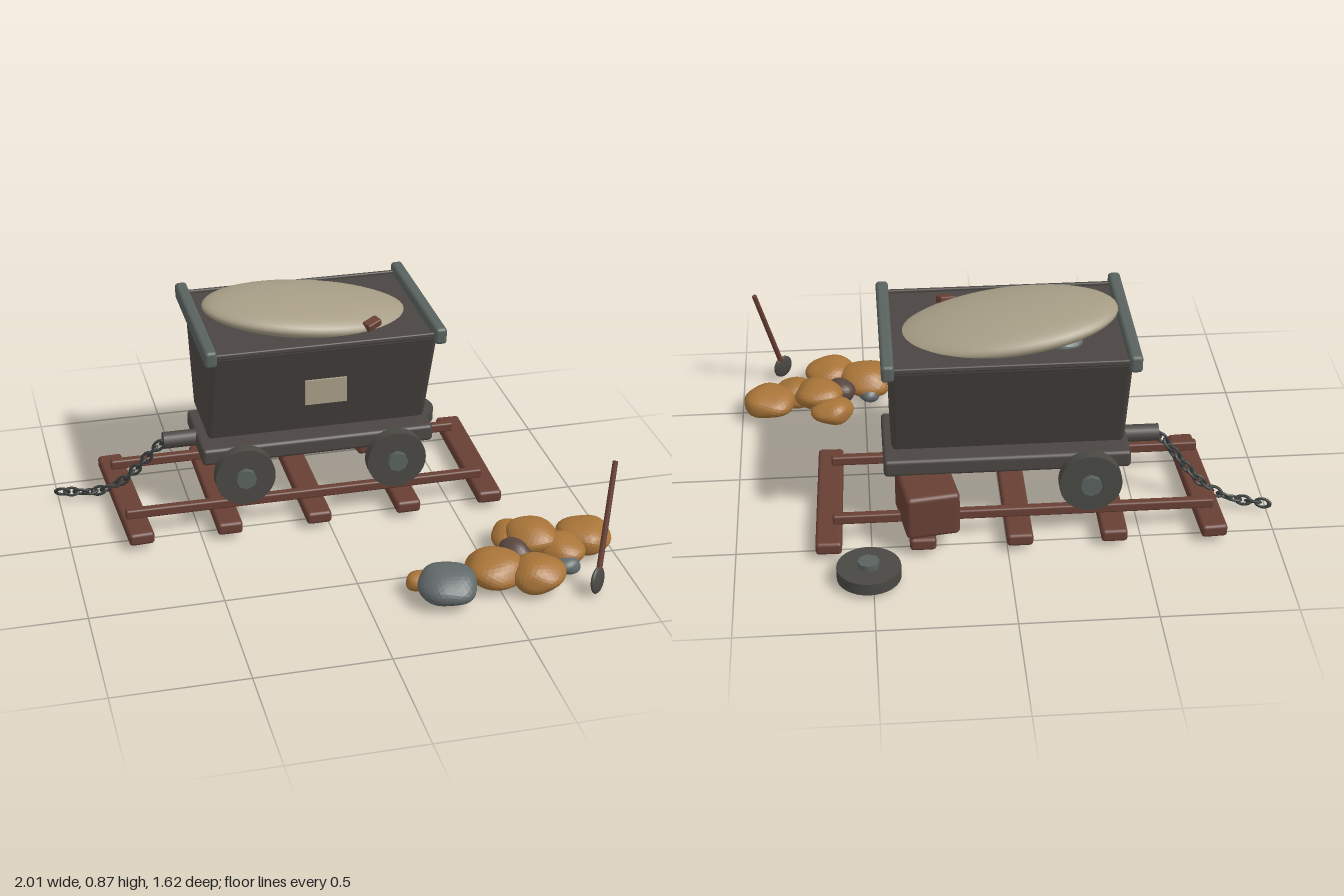
import * as THREE from 'three';
import { RoundedBoxGeometry } from 'three/addons/geometries/RoundedBoxGeometry.js';

const mat = (name, color, extra = {}) => {
  const m = new THREE.MeshStandardMaterial({ color, ...extra });
  m.name = name;
  return m;
};
const iron = mat('dark iron', 0x4b4642);
const wheelIron = mat('wheel iron', 0x494843);
const steel = mat('grey steel', 0x59625e);
const wood = mat('red brown wood', 0x683f34);
const cloth = mat('pale tan', 0xa79d86);
const ore = mat('ochre ore', 0xa87438);
const stone = mat('grey stone', 0x626a69);
const chainIron = mat('chain iron', 0x353a39);
const darkOre = mat('dusky brown', 0x5a4640);

const CZ = -0.237; // centre line of the cart

export function createModel() {
  const root = new THREE.Group();
  root.name = 'mineCartScene';

  const add = (name, geo, material, x = 0, y = 0, z = 0, parent = root) => {
    const m = new THREE.Mesh(geo, material);
    m.name = name;
    m.position.set(x, y, z);
    parent.add(m);
    return m;
  };
  const box = (name, w, h, d, r, material, x, y, z) =>
    add(name, new RoundedBoxGeometry(w, h, d, 3, r), material, x, y, z);

  // Lumpy ellipsoid: a sphere pushed in and out by a few waves
  const lump = (rx, ry, rz, seed, amount, detail) => {
    const g = new THREE.IcosahedronGeometry(1, detail);
    const p = g.attributes.position;
    const v = new THREE.Vector3();
    for (let i = 0; i < p.count; i++) {
      v.fromBufferAttribute(p, i);
      const k = 1 + amount * (Math.sin(v.x * 3.1 + seed * 1.7) * Math.sin(v.y * 3.7 + seed) +
        0.7 * Math.sin(v.z * 4.3 + v.x * 2 + seed * 2.3));
      p.setXYZ(i, v.x * k * rx, v.y * k * ry, v.z * k * rz);
    }
    g.computeVertexNormals();
    return g;
  };

  // Tapered hopper, extruded along x with a soft bevel
  const b = 0.018;
  const section = new THREE.Shape([
    new THREE.Vector2(-0.155 + b, 0.365 + b), new THREE.Vector2(0.155 - b, 0.365 + b),
    new THREE.Vector2(0.303 - b, 0.782 - b), new THREE.Vector2(-0.303 + b, 0.782 - b)]);
  const hopper = new THREE.ExtrudeGeometry(section, {
    depth: 0.86 - 2 * b, bevelThickness: b, bevelSize: b, bevelSegments: 3 });
  hopper.translate(0, 0, -0.43 + b);
  hopper.rotateY(Math.PI / 2);
  add('hopper', hopper, iron, -0.015, 0, CZ);
  for (const s of [-1, 1]) {
    box('sideLip', 0.85, 0.03, 0.016, 0.006, iron, -0.015, 0.776, CZ + s * 0.295);
    box('endRim', 0.046, 0.066, 0.655, 0.014, steel, -0.015 + s * 0.438, 0.783, CZ);
  }
  add('signPlate', new THREE.BoxGeometry(0.16, 0.1, 0.009), cloth, -0.015, 0.595, 0.06);

  // Load on top
  const load = add('loadMound', new THREE.SphereGeometry(1, 48, 24), cloth, -0.022, 0.8, -0.24);
  load.scale.set(0.407, 0.067, 0.234);
  load.rotation.z = -0.115;
  add('loadStone', lump(0.08, 0.03, 0.06, 2, 0.06, 4), stone, -0.2, 0.785, -0.37);
  const chip = box('loadChip', 0.065, 0.03, 0.04, 0.006, wood, 0.19, 0.8, -0.05);
  chip.rotation.set(0.2, 0.5, 0.1);

  // Undercarriage and coupling
  box('chassis', 0.915, 0.068, 0.355, 0.015, iron, -0.012, 0.294, CZ);
  const coupling = add('coupling', new THREE.CylinderGeometry(0.033, 0.033, 0.13, 16),
    iron, -0.53, 0.298, CZ);
  coupling.rotation.z = Math.PI / 2;

  // Wheel with its hub pointing up local y
  const wheel = (name, x, y, z, tilt) => {
    const g = new THREE.Group();
    g.name = name;
    add('disc', new THREE.CylinderGeometry(0.117, 0.117, 0.046, 32), wheelIron, 0, 0, 0, g);
    add('hub', new THREE.CylinderGeometry(0.04, 0.04, 0.022, 8), steel, 0, 0.034, 0, g);
    g.position.set(x, y, z);
    g.rotation.x = tilt;
    root.add(g);
  };
  wheel('frontWheel', -0.315, 0.225, -0.026, Math.PI / 2);
  wheel('frontWheel', 0.285, 0.225, -0.026, Math.PI / 2);
  wheel('rearWheel', -0.315, 0.225, -0.438, -Math.PI / 2);
  wheel('looseWheel', 0.515, 0.052, -0.7, 0);

  // Crate propping the corner with the missing wheel
  const crate = box('crate', 0.2, 0.175, 0.25, 0.018, wood, 0.29, 0.178, -0.442);
  crate.rotation.y = 0.15;

  // Track
  [[-0.752, 0.05], [-0.395, 0], [-0.045, 0], [0.312, 0], [0.65, -0.025]].forEach(([x, turn]) => {
    box('sleeper', 0.097, 0.05, 0.655, 0.014, wood, x, 0.058, -0.24).rotation.y = turn;
  });
  for (const z of [-0.037, -0.438])
    box('rail', 1.42, 0.038, 0.034, 0.008, wood, -0.07, 0.107, z);

  // Chain of alternating oval links
  const path = new THREE.CatmullRomCurve3([
    [-0.585, 0.3, -0.237], [-0.625, 0.26, -0.248], [-0.7, 0.165, -0.275],
    [-0.77, 0.095, -0.3], [-0.85, 0.055, -0.33], [-0.985, 0.045, -0.373],
  ].map((p) => new THREE.Vector3(...p)));
  const link = new THREE.TorusGeometry(0.016, 0.0055, 8, 16);
  link.scale(1.6, 1, 1);
  const LINKS = 15;
  for (let i = 0; i < LINKS; i++) {
    const t = i / (LINKS - 1);
    const p = path.getPointAt(t);
    const m = add('chainLink', link, chainIron, p.x, p.y, p.z);
    m.quaternion.setFromUnitVectors(new THREE.Vector3(1, 0, 0), path.getTangentAt(t));
    m.rotateX(i % 2 ? 0.8 : -0.75);
  }

  // Spilled rocks: x, y, z, radius, height radius, material
  [[0.205, 0.06, 0.61, 0.052, 0.036, ore], [0.29, 0.083, 0.69, 0.108, 0.066, stone],
    [0.49, 0.08, 0.62, 0.112, 0.066, ore], [0.635, 0.078, 0.685, 0.102, 0.062, ore],
    [0.635, 0.07, 0.4, 0.085, 0.052, ore], [0.685, 0.105, 0.47, 0.1, 0.058, ore],
    [0.78, 0.075, 0.54, 0.086, 0.055, ore], [0.89, 0.08, 0.47, 0.105, 0.06, ore],
    [0.6, 0.08, 0.53, 0.065, 0.05, darkOre], [0.775, 0.055, 0.615, 0.05, 0.035, stone],
    [0.48, 0.055, 0.54, 0.045, 0.035, stone],
  ].forEach(([x, y, z, r, h, material], i) =>
    add('rock', lump(r, h, r, i + 1, 0.055, 5), material, x, y, z).rotation.set(0.05, i, 0));

  // Leaning shovel
  const foot = new THREE.Vector3(0.84, 0.08, 0.765);
  const tip = new THREE.Vector3(0.93, 0.48, 0.63);
  const dir = tip.clone().sub(foot);
  const shovel = new THREE.Group();
  shovel.name = 'shovel';
  shovel.position.copy(foot);
  shovel.quaternion.setFromUnitVectors(new THREE.Vector3(0, 1, 0), dir.clone().normalize());
  add('handle', new THREE.CylinderGeometry(0.01, 0.011, dir.length(), 12), wood,
    0, dir.length() / 2, 0, shovel);
  const blade = add('blade', new THREE.SphereGeometry(1, 20, 14), wheelIron, 0, -0.012, 0, shovel);
  blade.scale.set(0.046, 0.052, 0.014);
  blade.rotation.y = 0.7;
  root.add(shovel);

  return root;
}
